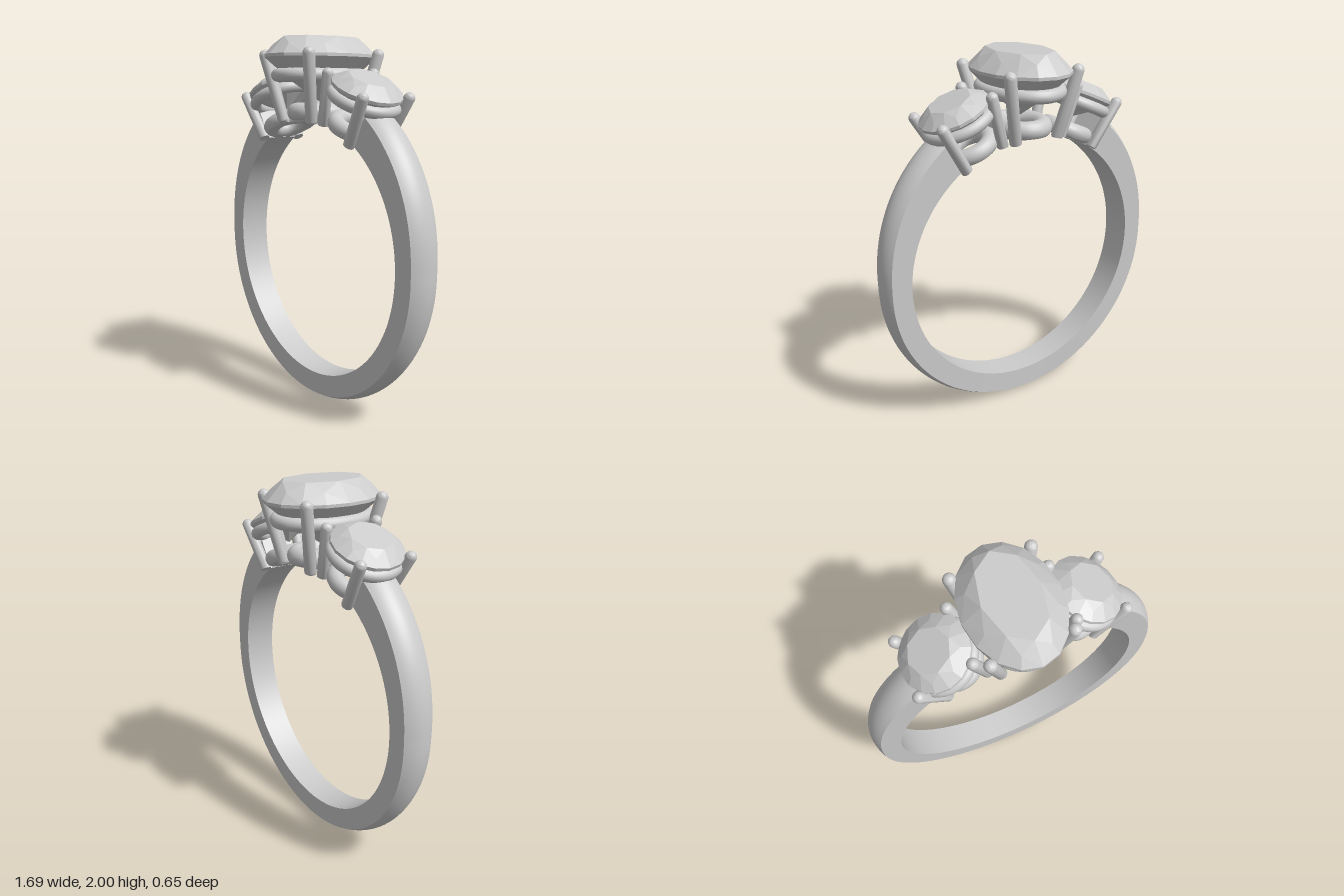
import * as THREE from 'three';
import { toCreasedNormals } from 'three/addons/utils/BufferGeometryUtils.js';
import { ConvexGeometry } from 'three/addons/geometries/ConvexGeometry.js';

const CENTRE_Y = 0.855;   // axis of the finger hole
const HOLE = 0.71;        // finger hole radius
const metal = new THREE.MeshStandardMaterial({ color: 0xcccccc });

function addMesh(group, name, geometry) {
  const mesh = new THREE.Mesh(geometry, metal);
  mesh.name = name;
  group.add(mesh);
}

// Keep everything outside the finger hole (hole axis along z through the origin).
function trimToHole(geometry) {
  const p = geometry.attributes.position;
  for (let i = 0; i < p.count; i++) {
    const r = Math.hypot(p.getX(i), p.getY(i));
    if (r < HOLE) p.setXY(i, p.getX(i) * HOLE / r, p.getY(i) * HOLE / r);
  }
  return toCreasedNormals(geometry, 0.7);
}

// Open band: domed outside, flat inside, wider and thicker towards the stones.
function bandGeometry() {
  const steps = 120, domeSteps = 12, n = domeSteps + 3;
  const start = THREE.MathUtils.degToRad(33), end = 2 * Math.PI - start;
  const positions = [], index = [];
  for (let i = 0; i <= steps; i++) {
    const a = start + (end - start) * i / steps, c = Math.cos(a);
    const rise = Math.max(0, c) / Math.cos(start);
    const outer = 0.845 + 0.07 * Math.pow(rise, 1.3) + 0.01 * Math.max(0, -c);
    const w = 0.087 + 0.007 * c;
    const drop = 0.026 + 0.012 * rise;
    const section = [[HOLE, -w], [HOLE, w]];
    for (let k = 0; k <= domeSteps; k++) {
      const t = 1 - 2 * k / domeSteps;
      section.push([outer - drop * t * t, w * t]);
    }
    for (const [r, z] of section) positions.push(Math.sin(a) * r, c * r, z);
  }
  for (let i = 0; i < steps; i++) for (let j = 0; j < n; j++) {
    const a = i * n + j, b = i * n + (j + 1) % n;
    index.push(a, a + n, b, b, a + n, b + n);
  }
  for (let j = 1; j < n - 1; j++) {
    const e = steps * n;
    index.push(0, j, j + 1, e, e + j + 1, e + j);
  }
  const g = new THREE.BufferGeometry();
  g.setAttribute('position', new THREE.Float32BufferAttribute(positions, 3));
  g.setIndex(index);
  return toCreasedNormals(g, 0.6);
}

// Brilliant cut: table, crown, girdle, pavilion and culet as a convex solid.
function stoneGeometry({ rx, rz, girdle, crown, culet, tableX, tableZ }) {
  const points = [new THREE.Vector3(0, culet, 0)];
  const ring = (count, sx, sz, y, turn = 0) => {
    for (let i = 0; i < count; i++) {
      const a = (i + turn) / count * 2 * Math.PI;
      points.push(new THREE.Vector3(Math.cos(a) * rx * sx, y, Math.sin(a) * rz * sz));
    }
  };
  const depth = girdle - culet;
  ring(8, tableX, tableZ, girdle + crown);
  ring(8, (1 + tableX) / 2, (1 + tableZ) / 2, girdle + crown * 0.58, 0.5);
  ring(16, 1, 1, girdle + 0.008);
  ring(16, 1, 1, girdle - 0.008);
  ring(8, 0.55, 0.55, girdle - depth * 0.52, 0.5);
  return new ConvexGeometry(points);
}

// Oval wire ring lying flat at height y.
function ovalRing(rx, rz, y, tube) {
  const points = [];
  for (let i = 0; i < 24; i++) {
    const a = i / 24 * 2 * Math.PI;
    points.push(new THREE.Vector3(Math.cos(a) * rx, y, Math.sin(a) * rz));
  }
  return new THREE.TubeGeometry(new THREE.CatmullRomCurve3(points, true), 64, tube, 16, true);
}

function prongGeometry(base, top, radius) {
  const dir = top.clone().sub(base);
  const g = new THREE.CapsuleGeometry(radius, dir.length(), 6, 16);
  const q = new THREE.Quaternion().setFromUnitVectors(
    new THREE.Vector3(0, 1, 0), dir.clone().normalize());
  g.applyQuaternion(q);
  const mid = base.clone().add(top).multiplyScalar(0.5);
  return g.translate(mid.x, mid.y, mid.z);
}

// Stone with two gallery rings and four prongs; heights are distances from the hole axis.
function setting(name, angle, s) {
  const group = new THREE.Group();
  group.name = name;
  addMesh(group, 'stone', stoneGeometry(s.stone));
  addMesh(group, 'upperGallery', ovalRing(...s.upper));
  addMesh(group, 'lowerGallery', trimToHole(ovalRing(...s.lower)));
  for (const x of [-1, 1]) for (const z of [-1, 1]) {
    const [base, top] = [s.prongBase, s.prongTop].map(
      ([px, py, pz]) => new THREE.Vector3(px * x, py, pz * z));
    addMesh(group, 'prong', trimToHole(prongGeometry(base, top, s.prongRadius)));
  }
  group.position.y = CENTRE_Y;
  group.rotation.z = angle;
  return group;
}

export function createModel() {
  const model = new THREE.Group();
  model.name = 'threeStoneRing';

  const band = new THREE.Group();
  band.name = 'bandGroup';
  band.position.y = CENTRE_Y;
  addMesh(band, 'band', bandGeometry());
  model.add(band);

  // Large oval centre stone
  model.add(setting('centreSetting', 0, {
    stone: { rx: 0.24, rz: 0.327, girdle: 1.045, crown: 0.1, culet: 0.8, tableX: 0.6, tableZ: 0.72 },
    upper: [0.18, 0.255, 0.945, 0.035],
    lower: [0.11, 0.145, 0.75, 0.05],
    prongBase: [0.13, 0.71, 0.16],
    prongTop: [0.203, 1.05, 0.227],
    prongRadius: 0.032,
  }));

  // Smaller round stones tilted to either side
  const side = {
    stone: { rx: 0.19, rz: 0.19, girdle: 0.955, crown: 0.06, culet: 0.815, tableX: 0.6, tableZ: 0.6 },
    upper: [0.165, 0.165, 0.9, 0.032],
    lower: [0.108, 0.108, 0.745, 0.045],
    prongBase: [0.116, 0.705, 0.12],
    prongTop: [0.15, 0.972, 0.15],
    prongRadius: 0.03,
  };
  const tilt = THREE.MathUtils.degToRad(24);
  model.add(setting('rightSetting', tilt, side), setting('leftSetting', -tilt, side));
  return model;
}
